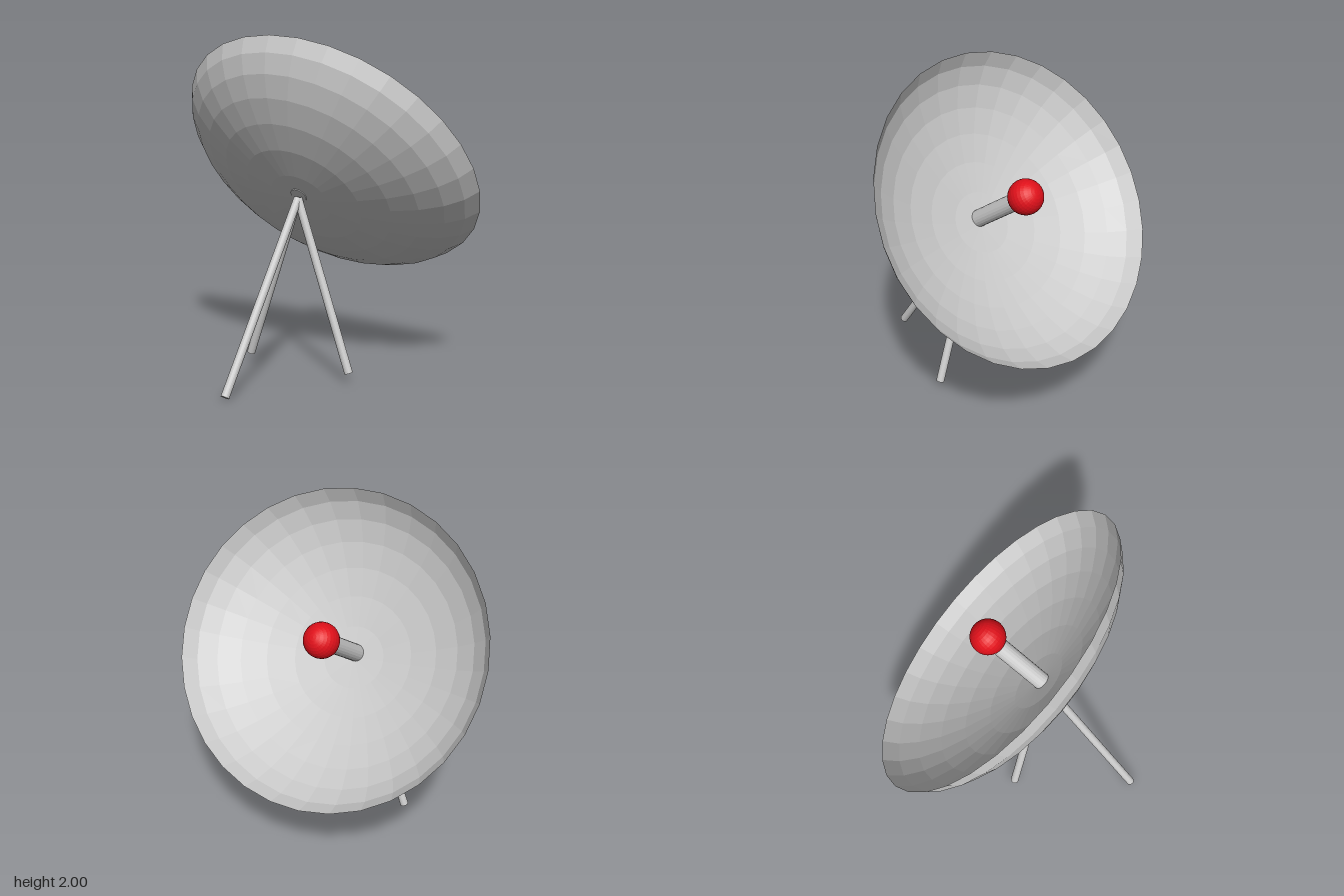
import * as THREE from 'three';

const grey = new THREE.MeshStandardMaterial({ color: 0xcccccc, flatShading: true });
const dishGrey = new THREE.MeshStandardMaterial({ color: 0xcccccc, flatShading: true, side: THREE.DoubleSide });
const red = new THREE.MeshStandardMaterial({ color: 0xe0101a, flatShading: true });

function part(name, geometry, material, parent) {
  const mesh = new THREE.Mesh(geometry, material);
  mesh.name = name;
  parent.add(mesh);
  return mesh;
}

// Cylinder running between two points
function strut(name, from, to, radius, parent) {
  const dir = to.clone().sub(from);
  const mesh = part(name, new THREE.CylinderGeometry(radius, radius, dir.length(), 20), grey, parent);
  mesh.position.copy(from).addScaledVector(dir, 0.5);
  mesh.quaternion.setFromUnitVectors(new THREE.Vector3(0, 1, 0), dir.normalize());
  return mesh;
}

export function createModel() {
  const model = new THREE.Group();
  model.name = 'dishAntenna';

  // Tilted head: local y is the dish axis, origin at the rim centre
  const head = new THREE.Group();
  head.name = 'head';
  head.position.set(0, 1.27, -0.215);
  head.rotation.x = -0.903;
  model.add(head);

  // Shallow bowl: flattened lower part of a sphere, cut just below its equator
  const sweep = (7 * Math.PI) / 16;
  const bowl = new THREE.SphereGeometry(1, 32, 7, 0, Math.PI * 2, Math.PI - sweep, sweep);
  bowl.scale(1.005, 0.46, 0.95);
  bowl.translate(0, 0.46 * Math.cos(sweep), 0);
  part('dish', bowl, dishGrey, head);

  // Feed rod through the bowl with a ball on its end
  const ballCentre = new THREE.Vector3(0, 0.082, 0.03);
  strut('feedRod', new THREE.Vector3(0, -0.372, 0.03), ballCentre, 0.052, head);
  part('feedBall', new THREE.SphereGeometry(0.105, 32, 16), red, head).position.copy(ballCentre);

  // Tripod
  const apex = new THREE.Vector3(0, 1.05, 0.1);
  strut('frontLeg', apex, new THREE.Vector3(0, 0.014, 0.769), 0.025, model);
  for (const [name, side] of [['leftLeg', 1], ['rightLeg', -1]]) {
    strut(name, apex, new THREE.Vector3(side * 0.367, 0.055, 0.098), 0.025, model);
  }

  return model;
}
